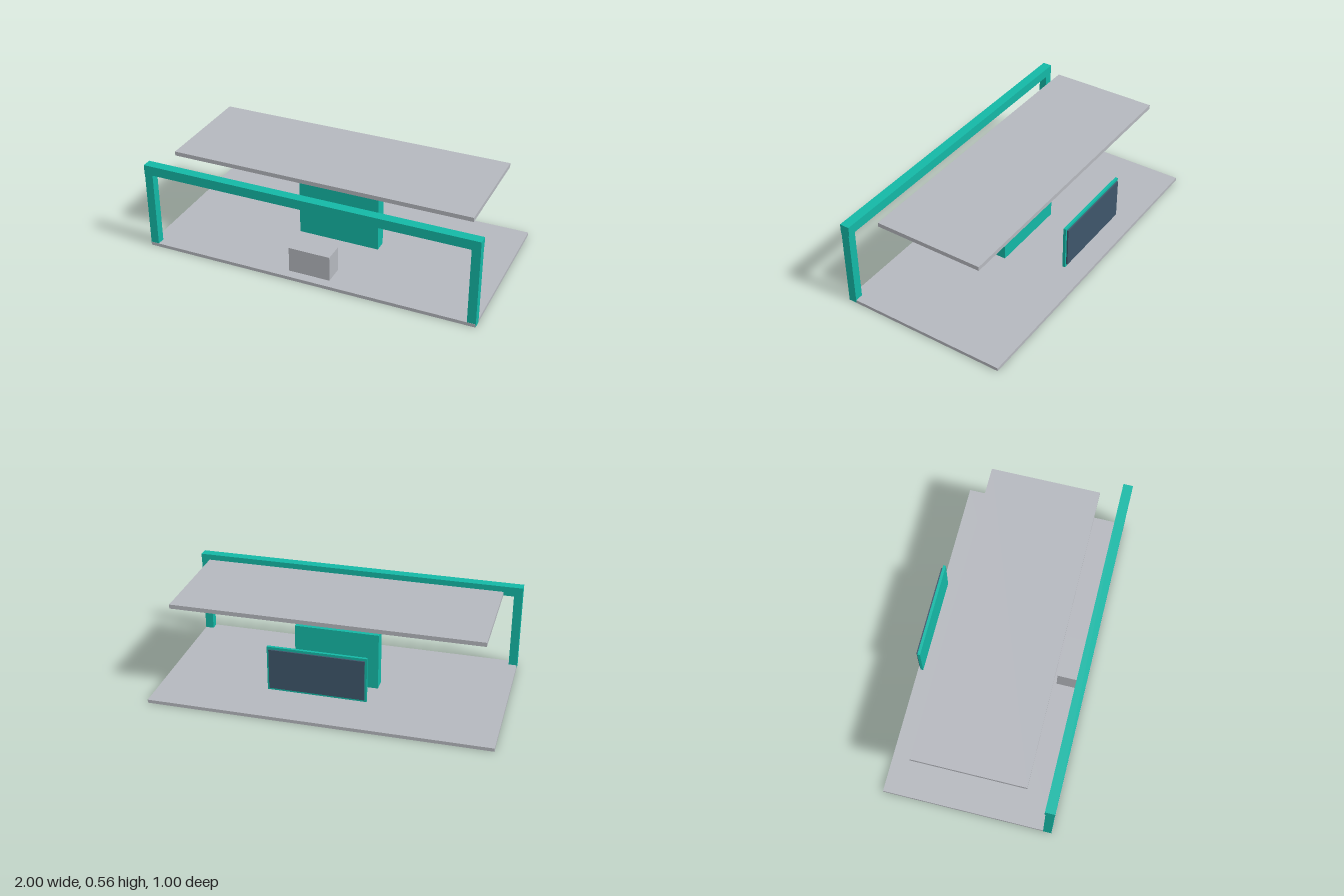
import * as THREE from 'three';

export function createModel() {
  const model = new THREE.Group();
  model.name = 'exhibitionStand';

  const material = (name, color) => {
    const m = new THREE.MeshStandardMaterial({ color });
    m.name = name;
    return m;
  };
  const grey = material('light grey', 0xb5b8be);
  const teal = material('teal', 0x14b8a6);
  const slate = material('dark slate', 0x3e566a);

  // Box given by its lower and upper limits on each axis
  const box = (name, mat, [x0, x1], [y0, y1], [z0, z1]) => {
    const mesh = new THREE.Mesh(new THREE.BoxGeometry(x1 - x0, y1 - y0, z1 - z0), mat);
    mesh.position.set((x0 + x1) / 2, (y0 + y1) / 2, (z0 + z1) / 2);
    mesh.name = name;
    model.add(mesh);
  };

  // Floor platform and floating roof panel
  box('floor', grey, [-0.999, 0.999], [0, 0.02], [-0.5, 0.5]);
  box('roof', grey, [-0.9, 0.9], [0.532, 0.557], [-0.325, 0.325]);

  // Entrance frame: two posts and a slightly deeper beam
  box('rightPost', teal, [-1, -0.95], [0.001, 0.48], [0.45, 0.499]);
  box('leftPost', teal, [0.95, 1], [0.001, 0.48], [0.45, 0.499]);
  box('beam', teal, [-1, 1], [0.478, 0.535], [0.445, 0.502]);

  // Central wall and reception counter
  box('centralWall', teal, [-0.25, 0.25], [0.001, 0.367], [-0.0375, 0.0375]);
  box('counter', grey, [-0.125, 0.125], [0.02, 0.172], [0.325, 0.443]);

  // Rear display: backing board with a thin screen facing backwards
  box('displayBoard', teal, [-0.282, 0.282], [0.177, 0.443], [-0.461, -0.445]);
  box('screen', slate, [-0.27, 0.27], [0.191, 0.429], [-0.47, -0.461]);

  return model;
}
